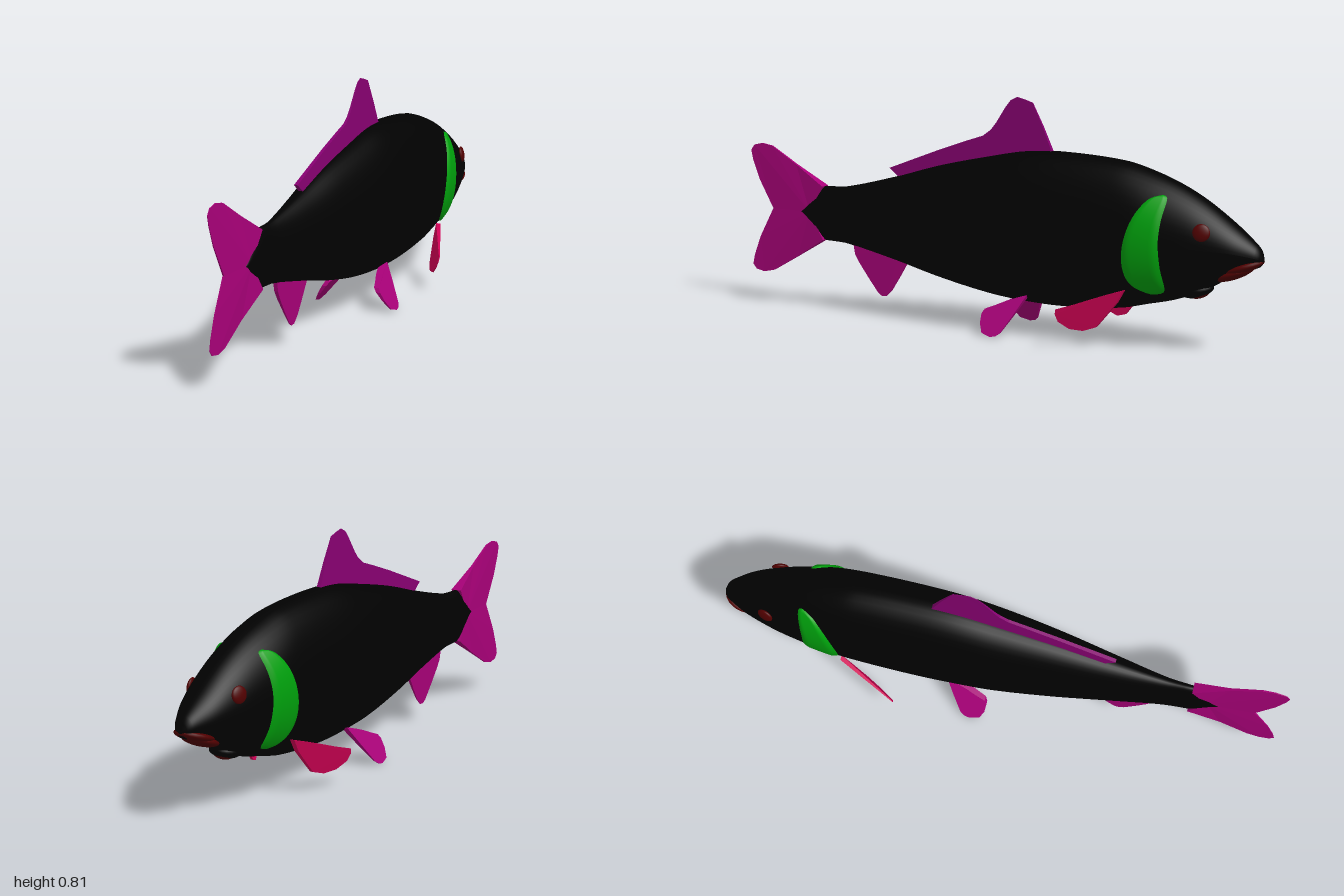
import * as THREE from 'three';

const mat = (name, color, double = false) => {
  const m = new THREE.MeshStandardMaterial({ color });
  m.name = name;
  if (double) m.side = THREE.DoubleSide;
  return m;
};

// Body stations: z, top y, bottom y, half width
const STATIONS = [
  [-1, 0.318, 0.318, 0.001], [-0.99, 0.35, 0.3, 0.024], [-0.97, 0.373, 0.29, 0.04], [-0.9, 0.43, 0.262, 0.076],
  [-0.8, 0.5, 0.205, 0.104], [-0.7, 0.553, 0.165, 0.122], [-0.6, 0.59, 0.14, 0.135],
  [-0.5, 0.615, 0.117, 0.138], [-0.3, 0.63, 0.102, 0.138], [-0.15, 0.627, 0.105, 0.134],
  [0, 0.6, 0.12, 0.125], [0.2, 0.555, 0.158, 0.1], [0.4, 0.497, 0.207, 0.068],
  [0.6, 0.45, 0.247, 0.034], [0.69, 0.448, 0.25, 0.025], [0.778, 0.349, 0.349, 0.012],
];

// Smooth cubic interpolation of the stations
function bodyAt(z) {
  const S = STATIONS, n = S.length;
  let i = 0;
  while (i < n - 2 && z > S[i + 1][0]) i++;
  const a = S[i], b = S[i + 1], h = b[0] - a[0], t = (z - a[0]) / h;
  const slope = (j, k) => {
    const p = S[Math.max(j - 1, 0)], q = S[Math.min(j + 1, n - 1)];
    return (q[k] - p[k]) / (q[0] - p[0]);
  };
  const value = (k) => {
    if (i >= n - 3 || i === 0) return a[k] + (b[k] - a[k]) * t;
    const t2 = t * t, t3 = t2 * t;
    return (2 * t3 - 3 * t2 + 1) * a[k] + (t3 - 2 * t2 + t) * h * slope(i, k)
      + (3 * t2 - 2 * t3) * b[k] + (t3 - t2) * h * slope(i + 1, k);
  };
  const top = value(1), bottom = value(2);
  return { c: (top + bottom) / 2, h: (top - bottom) / 2, w: value(3) };
}

function bodyX(z, y) {
  const { c, h, w } = bodyAt(z);
  return w * Math.sqrt(Math.max(0, 1 - ((y - c) / h) ** 2));
}

// Grid surface from a point function
function surface(rows, cols, point) {
  const pos = [], idx = [];
  for (let i = 0; i <= rows; i++) for (let j = 0; j <= cols; j++) pos.push(...point(i / rows, j / cols));
  for (let i = 0; i < rows; i++) for (let j = 0; j < cols; j++) {
    const a = i * (cols + 1) + j, b = a + cols + 1;
    idx.push(a, a + 1, b, b, a + 1, b + 1);
  }
  const g = new THREE.BufferGeometry();
  g.setAttribute('position', new THREE.Float32BufferAttribute(pos, 3));
  g.setIndex(idx);
  g.computeVertexNormals();
  return g;
}

// Fin from a (z, y) outline: xAt places its plane, thick gives its half thickness
function finGeometry(outline, thick, xAt = () => 0) {
  const shape = new THREE.Shape(outline.map(([z, y]) => new THREE.Vector2(z, y)));
  const g = new THREE.ExtrudeGeometry(shape, { depth: 1, bevelEnabled: false });
  const p = g.attributes.position;
  for (let i = 0; i < p.count; i++) {
    const z = p.getX(i), y = p.getY(i), s = 1 - 2 * p.getZ(i);
    p.setXYZ(i, xAt(z, y) + s * thick(z, y), y, z);
  }
  g.computeVertexNormals();
  return g;
}

const { clamp, lerp } = THREE.MathUtils;
const taper = (v, v0, v1, t0, t1) => lerp(t0, t1, clamp((v - v0) / (v1 - v0), 0, 1));
const spline = (points) => new THREE.SplineCurve(points.map((p) => new THREE.Vector2(...p)));

export function createModel() {
  const group = new THREE.Group();
  const black = mat('bodyBlack', 0x010101);
  const dorsalPurple = mat('dorsalPurple', 0x860070);
  const tailMagenta = mat('tailMagenta', 0xa80078);
  const pectoralCrimson = mat('pectoralCrimson', 0xd20055);
  const green = mat('gillGreen', 0x00a00c, true);
  const red = mat('darkRed', 0x500000);

  const add = (name, geometry, material) => {
    const m = new THREE.Mesh(geometry, material);
    m.name = name;
    group.add(m);
    return m;
  };

  // Body, with stations packed closer toward the snout and a wedge at the tail root
  add('body', surface(90, 48, (u, v) => {
    const z = u > 0.95 ? lerp(0.69, 0.778, (u - 0.95) / 0.05) : -1 + 1.69 * Math.pow(u / 0.95, 1.4);
    const { c, h, w } = bodyAt(z), a = v * Math.PI * 2;
    return [w * Math.cos(a), c + h * Math.sin(a), z];
  }), black);

  // Tail fin
  add('tailFin', finGeometry([
    [0.68, 0.447], [0.8, 0.518], [0.905, 0.58], [0.95, 0.588], [0.985, 0.58], [1, 0.56], [0.992, 0.525],
    [0.965, 0.455], [0.905, 0.35], [0.965, 0.24], [0.992, 0.17], [1, 0.135], [0.985, 0.117],
    [0.95, 0.11], [0.905, 0.12], [0.8, 0.18], [0.68, 0.252], [0.74, 0.35],
  ], (z) => (z < 0.8 ? taper(z, 0.68, 0.8, 0.02, 0.005) : taper(z, 0.8, 1, 0.005, 0.001))), tailMagenta);

  // Dorsal fin
  add('dorsalFin', finGeometry([
    [-0.235, 0.6], [-0.235, 0.63], [-0.2, 0.71], [-0.16, 0.79], [-0.13, 0.8], [-0.1, 0.807], [-0.075, 0.795],
    [-0.055, 0.77], [-0.02, 0.715], [0, 0.69], [0.03, 0.668], [0.1, 0.645], [0.2, 0.61], [0.3, 0.572],
    [0.405, 0.532], [0.37, 0.505], [0.36, 0.48], [0.2, 0.53], [0, 0.57],
  ], (z, y) => taper(y - bodyAt(z).c - bodyAt(z).h, -0.02, 0.17, 0.009, 0.001)), dorsalPurple);

  // Anal fin
  add('analFin', finGeometry([
    [0.56, 0.26], [0.552, 0.21], [0.535, 0.18], [0.5, 0.13], [0.46, 0.077], [0.445, 0.066], [0.425, 0.067],
    [0.4, 0.092], [0.37, 0.14], [0.335, 0.2], [0.36, 0.24],
  ], (z, y) => taper(y, 0.07, 0.24, 0.001, 0.008)), tailMagenta);

  // Paired fins, gill covers and eyes
  const gillRear = spline([
    [-0.675, 0.522], [-0.63, 0.505], [-0.585, 0.44], [-0.557, 0.35], [-0.555, 0.27], [-0.58, 0.215], [-0.64, 0.187],
  ]);
  const gillFront = spline([
    [-0.675, 0.522], [-0.692, 0.508], [-0.684, 0.44], [-0.679, 0.37], [-0.683, 0.29], [-0.686, 0.205], [-0.64, 0.187],
  ]);
  for (const side of [1, -1]) {
    const label = side > 0 ? 'left' : 'right';
    add(label + 'PelvicFin', finGeometry([
      [-0.175, 0.14], [-0.145, 0.08], [-0.11, 0.015], [-0.095, 0.004], [-0.075, 0], [-0.04, 0.01],
      [-0.025, 0.04], [-0.022, 0.07], [-0.03, 0.085], [-0.06, 0.097], [-0.1, 0.115],
    ], (z, y) => taper(y, 0, 0.13, 0.001, 0.014), (z, y) => side * (0.061 + (0.135 - y) * 0.67)), tailMagenta);

    add(label + 'PectoralFin', finGeometry([
      [-0.555, 0.2], [-0.5, 0.183], [-0.45, 0.166], [-0.4, 0.148], [-0.348, 0.132], [-0.344, 0.115],
      [-0.35, 0.088], [-0.38, 0.062], [-0.42, 0.055], [-0.46, 0.068], [-0.49, 0.105], [-0.53, 0.155],
    ], (z) => taper(z, -0.55, -0.36, 0.009, 0.002),
    (z, y) => side * (0.112 + 0.54 * (z + 0.55) + 0.31 * (y - 0.2))), pectoralCrimson);

    // Crescent gill cover hugging the body
    add(label + 'GillCover', surface(28, 12, (u, v) => {
      const p = gillFront.getPoint(u).lerp(gillRear.getPoint(u), v);
      const edge = Math.min(1, 8 * Math.min(v, 1 - v), 12 * Math.min(u, 1 - u));
      return [side * (bodyX(p.x, p.y) + 0.0005 + 0.008 * edge), p.y, p.x];
    }), green);

    const eye = add(label + 'Eye', new THREE.SphereGeometry(0.029, 20, 14), red);
    eye.scale.x = 0.35;
    eye.position.set(side * (bodyX(-0.817, 0.41) + 0.003), 0.41, -0.817);
    eye.rotation.set(0, side * 0.25, side * 0.15);
  }

  // Lips and chin
  const ellipsoid = (name, material, pos, scale, tilt) => {
    const m = add(name, new THREE.SphereGeometry(1, 24, 16), material);
    m.position.set(...pos);
    m.scale.set(...scale);
    m.rotation.x = tilt;
  };
  ellipsoid('upperLip', red, [0, 0.292, -0.925], [0.06, 0.02, 0.077], 0.33);
  ellipsoid('lowerLip', red, [0, 0.27, -0.897], [0.056, 0.021, 0.072], 0.36);
  ellipsoid('chin', black, [0, 0.2, -0.772], [0.048, 0.022, 0.055], 0.3);
  ellipsoid('chinPatch', red, [0, 0.195, -0.777], [0.034, 0.02, 0.038], 0.3);

  return group;
}
